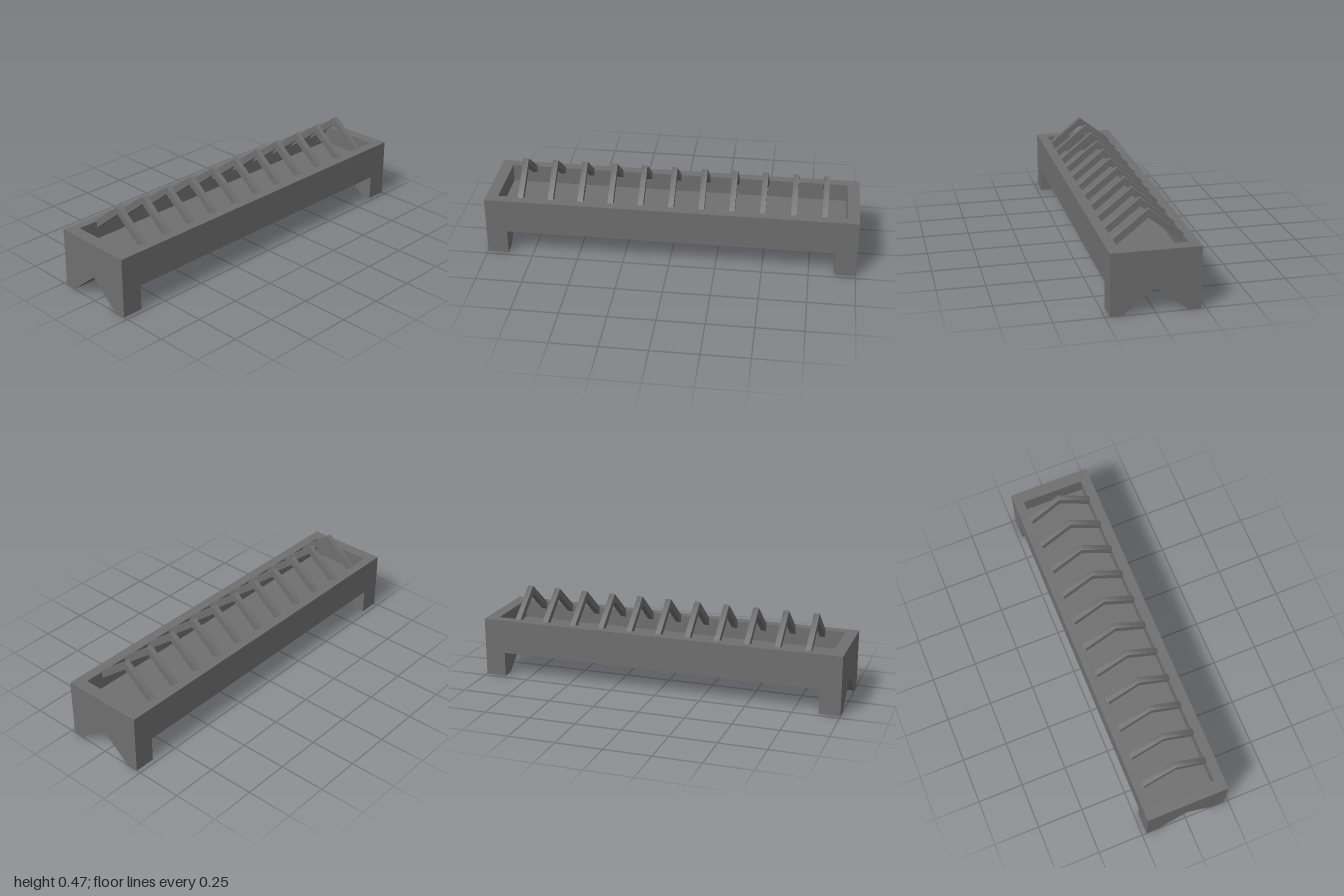
import * as THREE from 'three';
import { toCreasedNormals } from 'three/addons/utils/BufferGeometryUtils.js';

const material = new THREE.MeshStandardMaterial({ color: 0x6f6f6f });

const shapeOf = (points) => new THREE.Shape(points.map(([a, b]) => new THREE.Vector2(a, b)));

function add(group, name, geometry) {
  const mesh = new THREE.Mesh(geometry, material);
  mesh.name = name;
  group.add(mesh);
  return mesh;
}

// Extrude a (z, y) profile along x, centred on x = 0
function sideProfile(points, width) {
  return new THREE.ExtrudeGeometry(shapeOf(points), { depth: width, bevelEnabled: false })
    .translate(0, 0, -width / 2)
    .rotateY(-Math.PI / 2);
}

export function createModel() {
  const group = new THREE.Group();
  const D = 0.226, TOP = 0.323, UNDER = 0.135, FLOOR = 0.224;
  const IX = 0.935, BACK = -0.175, FRONT = 0.171;

  // Tray walls: a rectangular frame around the open cavity
  const frame = shapeOf([[-1, -D], [1, -D], [1, D], [-1, D]]);
  frame.holes.push(shapeOf([[-IX, -FRONT], [-IX, -BACK], [IX, -BACK], [IX, -FRONT]]));
  add(group, 'trayWalls', new THREE.ExtrudeGeometry(frame, { depth: TOP - UNDER, bevelEnabled: false })
    .rotateX(-Math.PI / 2).translate(0, UNDER, 0));

  // Tray floor
  add(group, 'trayFloor', new THREE.BoxGeometry(2 * IX, FLOOR - UNDER, FRONT - BACK)
    .translate(0, (FLOOR + UNDER) / 2, (FRONT + BACK) / 2));

  // End feet, separated by a V-shaped notch
  const LEG = 0.113;
  for (const x of [-1, 1]) {
    for (const z of [-1, 1]) {
      const foot = [[0.164 * z, 0], [D * z, 0], [D * z, UNDER], [0, UNDER]];
      add(group, 'foot', sideProfile(foot, LEG)).position.x = x * (1 - LEG / 2);
    }
  }

  // Row of gable-shaped ribs, cut square at ends buried in the tray walls
  const SLOPE = 0.8, PEAK = 0.468, INNER = 0.424, OUT = 0.2, IN = 0.179;
  const rib = [
    [-OUT, PEAK - SLOPE * OUT], [-IN, INNER - SLOPE * IN], [0, INNER],
    [IN, INNER - SLOPE * IN], [OUT, PEAK - SLOPE * OUT], [0, PEAK],
  ];
  // Shading runs smoothly over the ridge, all other edges stay sharp
  const ribGeometry = toCreasedNormals(sideProfile(rib, 0.03), 1.4);
  for (let i = -5; i <= 5; i++) {
    add(group, 'rib', ribGeometry).position.set(0.003 + i * 0.163, 0, -0.003);
  }
  return group;
}
